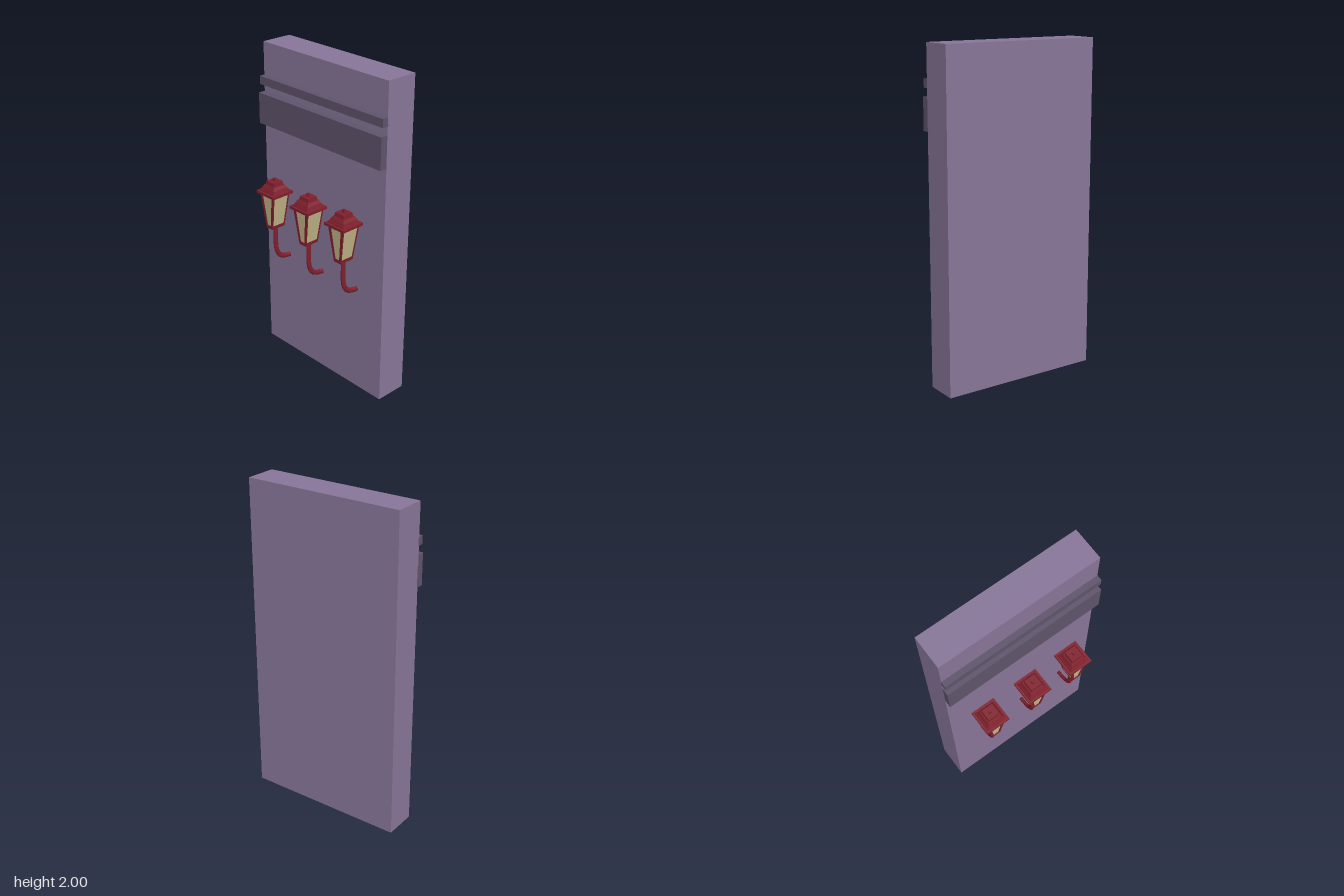
import * as THREE from 'three';

const mat = (name, color) => {
  const m = new THREE.MeshStandardMaterial({ color });
  m.name = name;
  return m;
};

// Box whose bottom and top rectangles are [centreX, centreZ, halfX, halfZ]
function loft(y0, bottom, y1, top) {
  const geo = new THREE.BoxGeometry(2, 2, 2).toNonIndexed();
  const p = geo.attributes.position;
  for (let i = 0; i < p.count; i++) {
    const up = p.getY(i) > 0;
    const [cx, cz, hx, hz] = up ? top : bottom;
    p.setXYZ(i, cx + p.getX(i) * hx, up ? y1 : y0, cz + p.getZ(i) * hz);
  }
  geo.computeVertexNormals();
  return geo;
}

const sq = (h) => [0, 0, h, h];

function add(group, name, geo, material) {
  const mesh = new THREE.Mesh(geo, material);
  mesh.name = name;
  group.add(mesh);
  return mesh;
}

function slab(group, name, material, y0, y1, z0, z1) {
  const geo = new THREE.BoxGeometry(1, y1 - y0, z1 - z0);
  add(group, name, geo, material).position.set(0, (y0 + y1) / 2, (z0 + z1) / 2);
}

function makeLantern(metal, glass) {
  const lantern = new THREE.Group();

  // Curved wall bracket, slimmer sideways than in depth
  const path = new THREE.CatmullRomCurve3([
    [0.93, 0], [0.86, 0], [0.79, 0], [0.745, -0.008], [0.71, -0.03], [0.693, -0.06], [0.684, -0.112], [0.683, -0.13],
  ].map(([y, z]) => new THREE.Vector3(0, y, z)));
  add(lantern, 'bracket', new THREE.TubeGeometry(path, 28, 0.016, 10, false), metal).scale.x = 0.66;

  // Tapered glass body between a foot and four corner posts
  add(lantern, 'foot', loft(0.915, [0, 0, 0.027, 0.048], 0.935, [0, 0, 0.03, 0.049]), metal);
  add(lantern, 'glass', loft(0.935, [0, 0, 0.026, 0.045], 1.135, [0, 0, 0.057, 0.059]), glass);
  for (const sx of [-1, 1]) for (const sz of [-1, 1]) {
    const post = loft(0.93, [sx * 0.0225, sz * 0.045, 0.0065, 0.004], 1.145, [sx * 0.052, sz * 0.059, 0.01, 0.004]);
    add(lantern, 'cornerPost', post, metal);
  }
  add(lantern, 'topRail', loft(1.13, sq(0.061), 1.145, sq(0.063)), metal);

  // Stepped roof: [bottom y, bottom half width, top y, top half width]
  const tiers = [
    [1.138, 0.077, 1.154, 0.077],
    [1.154, 0.064, 1.166, 0.06],
    [1.166, 0.056, 1.176, 0.053],
    [1.176, 0.053, 1.194, 0.043],
    [1.194, 0.037, 1.217, 0.034],
    [1.217, 0.008, 1.235, 0.007],
  ];
  const names = ['roofRim', 'roofStep', 'roofStep', 'roofSlope', 'roofCap', 'finial'];
  tiers.forEach(([y0, h0, y1, h1], i) => add(lantern, names[i], loft(y0, sq(h0), y1, sq(h1)), metal));
  return lantern;
}

export function createModel() {
  const model = new THREE.Group();
  model.name = 'wallWithLanterns';
  const wall = mat('purple wall', 0x877598);
  const trim = mat('dark purple trim', 0x5e536b);
  const metal = mat('red metal', 0x80202d);
  const glass = mat('pale yellow glass', 0xc3b688);

  // Wall and its two horizontal mouldings
  slab(model, 'wall', wall, 0, 2, -0.195, 0.005);
  slab(model, 'upperMoulding', trim, 1.75, 1.8, 0, 0.04);
  slab(model, 'lowerMoulding', trim, 1.51, 1.7, 0, 0.05);

  // Row of three lanterns
  for (const x of [-0.297, 0.001, 0.293]) {
    const lantern = makeLantern(metal, glass);
    lantern.name = 'lantern';
    lantern.position.set(x, 0, 0.117);
    model.add(lantern);
  }
  return model;
}
